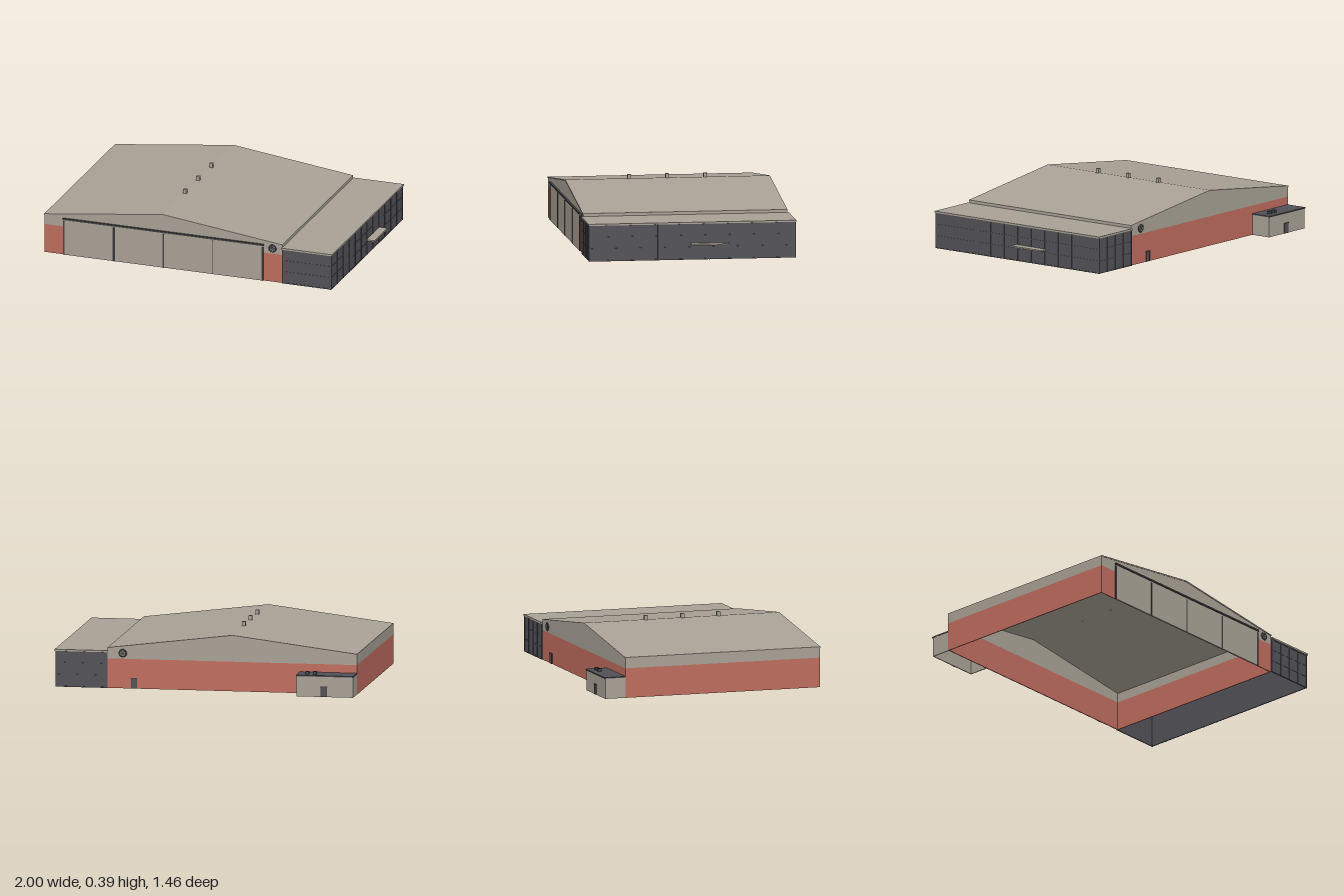
import * as THREE from 'three';

const mat = (name, color, side = THREE.FrontSide) => {
  const m = new THREE.MeshStandardMaterial({ color, side });
  m.name = name;
  return m;
};

export function createModel() {
  const cladding = mat('warm grey cladding', 0xa8a195);
  const brick = mat('red brick', 0xbf6c5e);
  const dark = mat('dark metal', 0x525157);
  const trim = mat('darker trim', 0x434549);

  const model = new THREE.Group();
  model.name = 'hangar';

  const add = (name, geometry, material, parent = model) => {
    const mesh = new THREE.Mesh(geometry, material);
    mesh.name = name;
    parent.add(mesh);
    return mesh;
  };
  const group = (name) => {
    const g = new THREE.Group();
    g.name = name;
    model.add(g);
    return g;
  };
  // Box given by its minimum and maximum corners
  const box = (name, x0, x1, y0, y1, z0, z1, material, parent) => {
    const mesh = add(name, new THREE.BoxGeometry(x1 - x0, y1 - y0, z1 - z0), material, parent);
    mesh.position.set((x0 + x1) / 2, (y0 + y1) / 2, (z0 + z1) / 2);
    return mesh;
  };
  // Outline in x and y, extruded from z0 to z1
  const prism = (name, points, z0, z1, material, parent) => {
    const shape = new THREE.Shape(points.map(([x, y]) => new THREE.Vector2(x, y)));
    const geometry = new THREE.ExtrudeGeometry(shape, { depth: z1 - z0, bevelEnabled: false });
    geometry.translate(0, 0, z0);
    return add(name, geometry, material, parent);
  };

  // Main hall: open underneath, brick base with cladding above
  const W = -1, E = 0.612, N = -0.595, S = 0.715, T = 0.006;
  const BRICK = 0.19, EAVE = 0.26, RIDGE = 0.36, RX = -0.195;
  const DOOR0 = -0.865, DOOR1 = 0.478;
  const hall = group('mainHall');
  for (const [side, x] of [['right', W], ['left', E - T]]) {
    box(side + 'BrickWall', x, x + T, 0, BRICK, N, S, brick, hall);
    box(side + 'UpperWall', x, x + T, BRICK, EAVE - 0.004, N, S, cladding, hall);
  }
  box('backBrickWall', W + T, E - T, 0, BRICK, N, N + T, brick, hall);
  box('frontBrickRight', W + T, DOOR0, 0, BRICK, S - T, S, brick, hall);
  box('frontBrickLeft', DOOR1, E - T, 0, BRICK, S - T, S, brick, hall);
  const gable = [[W, BRICK], [E, BRICK], [E, EAVE - 0.004], [RX, RIDGE - 0.004], [W, EAVE - 0.004]];
  prism('backGable', gable, N, N + T, cladding, hall);
  prism('frontGable', gable, S - T, S, cladding, hall);
  const R = 0.008;
  prism('roof', [[W, EAVE - R], [RX, RIDGE - R], [E, EAVE - R], [E, EAVE], [RX, RIDGE], [W, EAVE]],
    N - 0.001, S + 0.003, cladding, hall);

  // Ridge vents
  for (const z of [-0.18, 0.065, 0.308]) {
    box('ridgeVent', RX - 0.011, RX + 0.011, 0.35, 0.387, z - 0.011, z + 0.011, cladding, hall);
  }

  // Sliding front doors with dark joints and overhead rail
  const doors = group('slidingDoors');
  const bays = 4, bay = (DOOR1 - DOOR0) / bays;
  for (let i = 0; i < bays; i++) {
    box('doorPanel', DOOR0 + i * bay, DOOR0 + (i + 1) * bay, 0, 0.24, S - T, S + 0.005, cladding, doors);
  }
  for (let i = 0; i <= bays; i++) {
    const x = DOOR0 + i * bay, w = i === 3 ? 0.002 : 0.005;
    box('doorPost', x - w, x + w, 0, 0.228, S, S + 0.008, trim, doors);
  }
  box('doorRail', DOOR0 - 0.008, DOOR1 + 0.008, 0.238, 0.248, S, S + 0.013, trim, doors);

  // Round wall fans
  const addFan = (name, x, z, turn) => {
    const fan = group(name);
    fan.position.set(x, 0.226, z);
    fan.rotation.y = turn;
    const disc = add('fanBack', new THREE.CylinderGeometry(0.024, 0.024, 0.004, 24), cladding, fan);
    disc.rotation.x = Math.PI / 2;
    add('fanRing', new THREE.TorusGeometry(0.022, 0.0045, 8, 24), trim, fan);
    add('fanHub', new THREE.SphereGeometry(0.007, 12, 8), trim, fan).scale.z = 0.7;
    for (let i = 0; i < 3; i++) {
      const blade = add('fanBlade', new THREE.BoxGeometry(0.042, 0.009, 0.003), dark, fan);
      blade.position.z = 0.002;
      blade.rotation.z = (i * Math.PI) / 3;
    }
  };
  addFan('frontFan', 0.545, S + 0.002, 0);
  addFan('backFan', 0.513, N - 0.002, Math.PI);

  // Small personnel doors on the back faces
  const addDoor = (name, x, z) => {
    const door = group(name);
    box('doorLeaf', x - 0.016, x + 0.016, 0, 0.062, z - 0.003, z, dark, door);
    for (const s of [-1, 1]) {
      box('doorJamb', x + s * 0.018 - 0.002, x + s * 0.018 + 0.002, 0, 0.066, z - 0.004, z, trim, door);
    }
    box('doorHead', x - 0.023, x + 0.023, 0.062, 0.068, z - 0.006, z, trim, door);
  };
  addDoor('hallBackDoor', 0.44, N);
  addDoor('shedBackDoor', -0.81, -0.729);

  // Side annex: glazed dark walls, light flat roof, open underneath
  const AX = 0.945, AN = -0.6, AS = 0.723, AH = 0.23;
  const annex = group('annex');
  box('annexSideWall', AX - T, AX, 0, AH, AN, AS, dark, annex);
  box('annexFrontWall', E, AX - T, 0, AH, AS - T, AS, dark, annex);
  box('annexBackWall', E, AX - T, 0, AH, AN, AN + T, dark, annex);
  box('annexCeiling', E, AX - T, AH - 0.008, AH, AN + T, AS - T, dark, annex);
  box('annexRoof', 0.608, 0.952, AH, 0.241, -0.605, 0.728, cladding, annex);

  // Mullions and transoms
  const D = 0.003, B = 0.003;
  const sideBays = 12, endBays = 4;
  for (let i = 0; i <= sideBays; i++) {
    const z = AN + B + ((AS - AN - 2 * B) * i) / sideBays;
    box('sideMullion', AX, AX + D, 0, AH, z - B, z + B, dark, annex);
  }
  for (let i = 0; i <= endBays; i++) {
    const x = E + B + ((AX - E - 2 * B) * i) / endBays;
    box('frontMullion', x - B, x + B, 0, AH, AS, AS + D, dark, annex);
    box('backMullion', x - B, x + B, 0, AH, AN - D, AN, dark, annex);
  }
  for (const y of [0.004, 0.08, 0.155, AH - 0.004]) {
    box('sideTransom', AX, AX + D - 0.001, y - B, y + B, AN, AS, dark, annex);
    box('frontTransom', E, AX, y - B, y + B, AS, AS + D - 0.001, dark, annex);
    box('backTransom', E, AX, y - B, y + B, AN - D + 0.001, AN, dark, annex);
  }
  box('entranceCanopy', AX, 1, 0.097, 0.106, -0.168, 0.072, cladding, annex);

  // Back shed: open underneath, dark roof with two flues
  const shed = group('backShed');
  const SX = -0.634, SN = -0.729, SH = 0.13;
  box('shedRightWall', W + 0.002, W + 0.002 + T, 0, SH, SN, N, cladding, shed);
  box('shedLeftWall', SX - T, SX, 0, SH, SN, N, cladding, shed);
  box('shedBackWall', W + 0.002 + T, SX - T, 0, SH, SN, SN + T, cladding, shed);
  box('shedRoof', W, SX + 0.004, SH, 0.138, -0.735, N, dark, shed);
  for (const x of [-0.745, -0.697]) {
    box('shedFlue', x - 0.011, x + 0.011, 0.136, 0.156, -0.694, -0.672, trim, shed);
  }

  return model;
}
